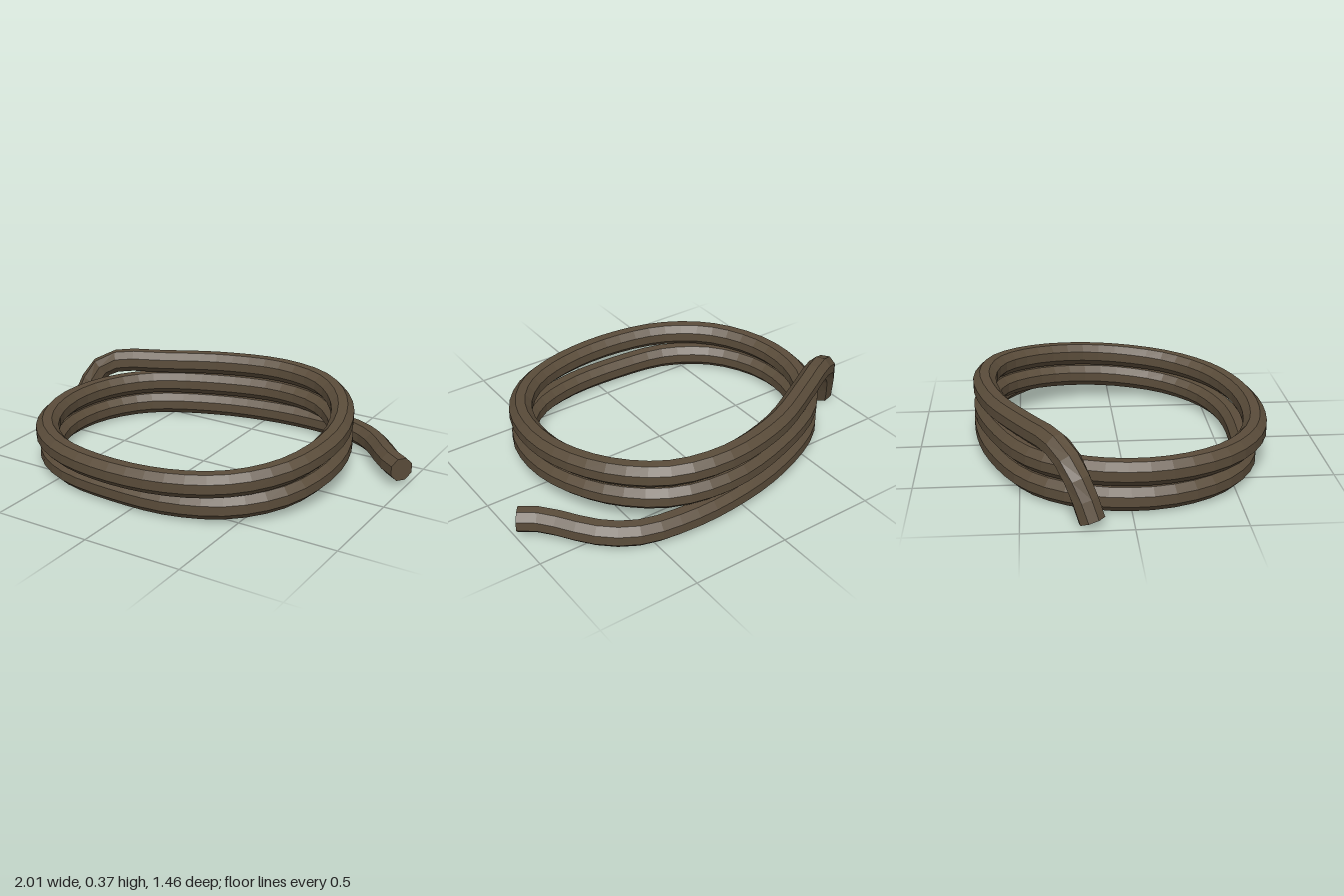
import * as THREE from 'three';

const RADIUS = 0.062;
const SIDES = 8;
const RINGS = 120;

// Left half of a loop (back to front) and right half (front to back), as [x, z]
const leftHalf = [[0.1, -0.67], [-0.25, -0.6], [-0.6, -0.43], [-0.755, -0.22], [-0.805, 0.02],
  [-0.765, 0.25], [-0.64, 0.46], [-0.42, 0.61]];
const rightHalf = [[-0.12, 0.67], [0.2, 0.64], [0.45, 0.53], [0.62, 0.33], [0.688, 0.07],
  [0.67, -0.18], [0.56, -0.43], [0.37, -0.61]];

function ropePath() {
  // Loose end lying on the ground
  const pts = [[0.975, 0.1, -0.262], [0.88, 0.1, -0.335], [0.78, 0.09, -0.46],
    [0.68, 0.082, -0.565], [0.55, 0.078, -0.64], [0.35, 0.076, -0.673]];
  // Two loops: level on the left, climbing on the right
  for (let loop = 0; loop < 2; loop++) {
    const y = 0.077 + loop * 0.122;
    leftHalf.forEach(([x, z], i) => {
      const pull = loop === 0 && i > 4 ? 0.055 * (i - 4) / 4 : 0;
      pts.push([x, y, z - pull]);
    });
    rightHalf.forEach(([x, z], i) => {
      const pull = loop === 0 ? Math.max(0, 0.06 - i * 0.015) : 0;
      const climb = 0.122 * (0.67 - z) / 1.34;
      pts.push([x, y + climb, z - pull]);
    });
  }
  // Upper end, dropping over the side
  pts.push([0.1, 0.323, -0.67], [-0.25, 0.322, -0.6], [-0.55, 0.323, -0.45], [-0.74, 0.326, -0.345],
    [-0.83, 0.3, -0.295], [-0.885, 0.22, -0.25], [-0.915, 0.13, -0.215], [-0.938, 0.036, -0.185]);
  return new THREE.CatmullRomCurve3(pts.map((p) => new THREE.Vector3(...p)), false, 'centripetal');
}

// Octagonal sweep that keeps a flat side upwards, with closed ends
function sweep(curve) {
  const pos = [], index = [];
  const up = new THREE.Vector3(0, 1, 0);
  for (let i = 0; i <= RINGS; i++) {
    const c = curve.getPointAt(i / RINGS);
    const t = curve.getTangentAt(i / RINGS);
    const side = new THREE.Vector3().crossVectors(up, t).normalize();
    const top = new THREE.Vector3().crossVectors(t, side);
    for (let j = 0; j < SIDES; j++) {
      const a = (j + 0.5) / SIDES * Math.PI * 2;
      const p = c.clone().addScaledVector(side, Math.cos(a) * RADIUS).addScaledVector(top, Math.sin(a) * RADIUS);
      pos.push(p.x, p.y, p.z);
      if (i < RINGS) {
        const k = (j + 1) % SIDES, r = i * SIDES, n = r + SIDES;
        index.push(r + j, r + k, n + j, r + k, n + k, n + j);
      }
    }
  }
  const last = RINGS * SIDES;
  for (let j = 1; j < SIDES - 1; j++) {
    index.push(0, j + 1, j, last, last + j, last + j + 1);
  }
  const geo = new THREE.BufferGeometry();
  geo.setAttribute('position', new THREE.Float32BufferAttribute(pos, 3));
  geo.setIndex(index);
  const flat = geo.toNonIndexed();
  flat.computeVertexNormals();
  return flat;
}

export function createModel() {
  const group = new THREE.Group();
  group.name = 'coiledRope';
  const material = new THREE.MeshStandardMaterial({ color: 0x5a4c3a });
  material.name = 'dark brown rope';
  const rope = new THREE.Mesh(sweep(ropePath()), material);
  rope.name = 'rope';
  group.add(rope);
  return group;
}
